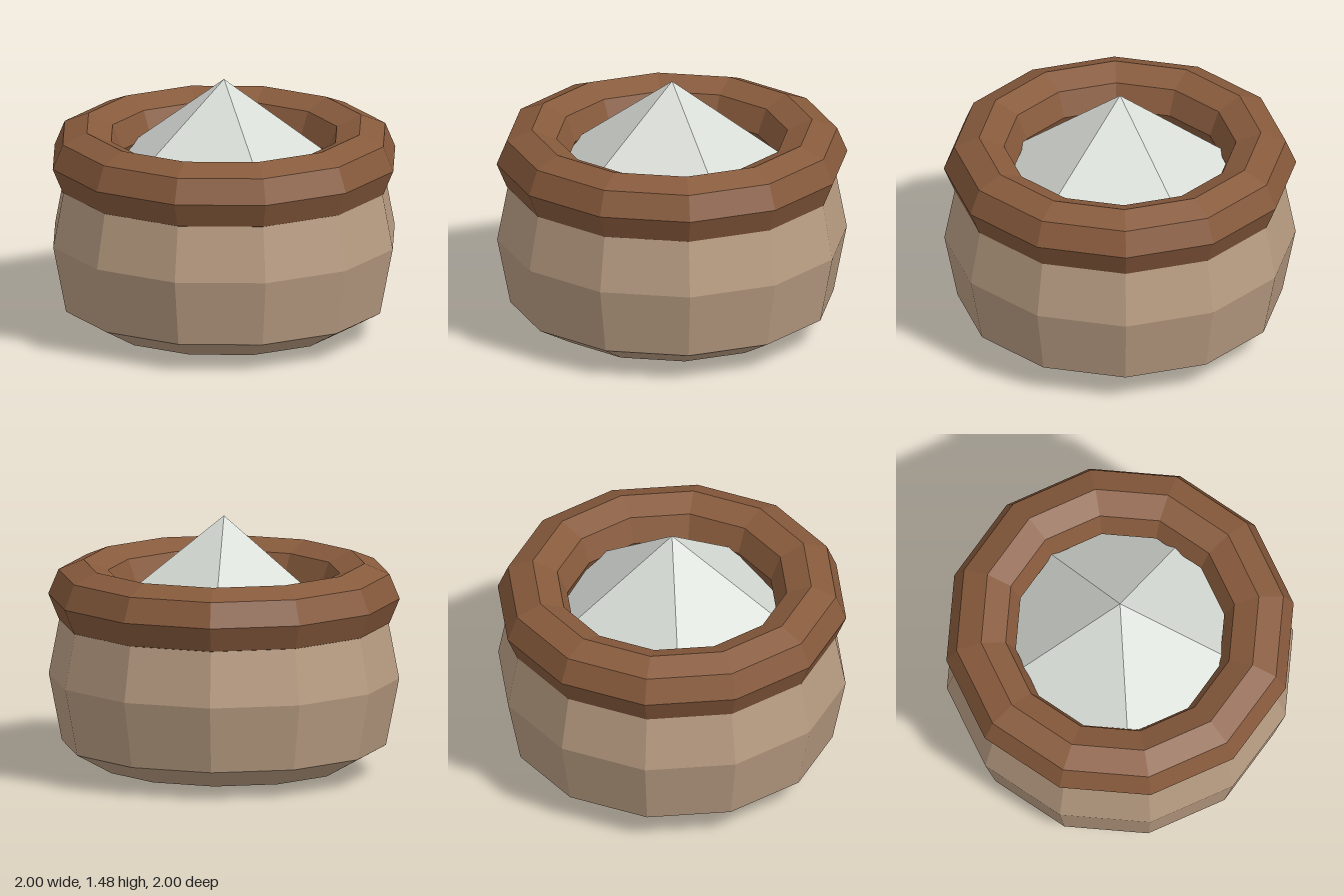
import * as THREE from 'three';

const material = (name, color) => {
  const m = new THREE.MeshStandardMaterial({ color, flatShading: true });
  m.name = name;
  return m;
};

export function createModel() {
  const clay = material('clay', 0xb89c82);
  const wood = material('wood', 0x875a3c);
  const stone = material('paleStone', 0xd8dcd6);

  const group = new THREE.Group();
  group.name = 'pot';
  const add = (name, geometry, mat, y = 0) => {
    const mesh = new THREE.Mesh(geometry, mat);
    mesh.name = name;
    mesh.position.y = y;
    group.add(mesh);
  };

  // Twelve-sided bowl, its upper edge tucked inside the rim
  const profile = [
    [0, 0.01], [0.38, 0], [0.707, 0.045], [0.922, 0.165], [0.997, 0.55], [0.924, 0.935],
  ].map(([r, y]) => new THREE.Vector2(r, y));
  add('bowl', new THREE.LatheGeometry(profile, 12), clay);

  // Thick octagonal-section ring
  add('rim', new THREE.TorusGeometry(0.8, 0.2, 8, 12).rotateX(Math.PI / 2), wood, 1.01);

  // Five-sided heap filling the opening, one ridge pointing back
  add('contents', new THREE.ConeGeometry(0.8, 0.6, 5).rotateY(Math.PI), stone, 1.175);

  return group;
}
